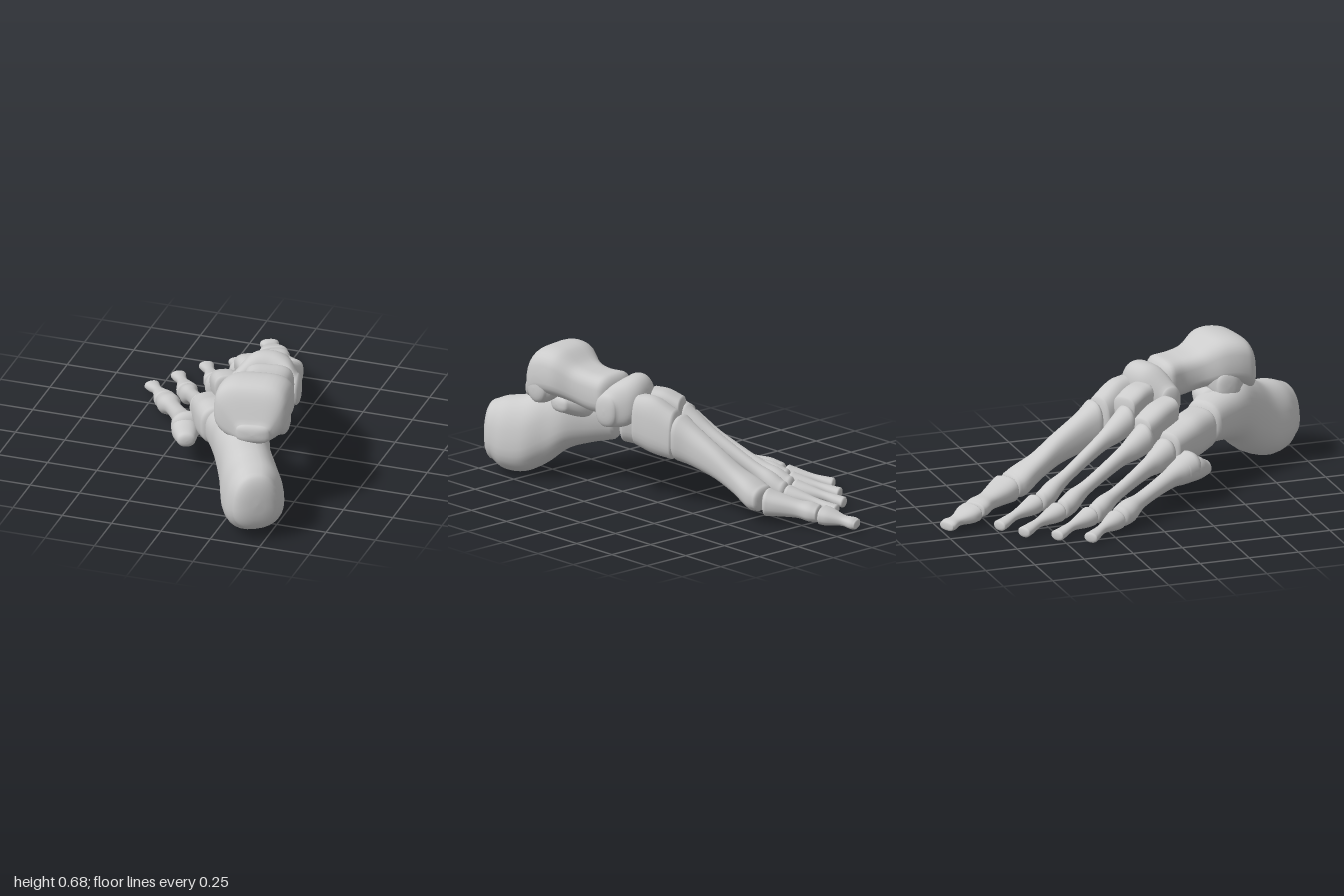
import * as THREE from 'three';

const material = new THREE.MeshStandardMaterial({ color: 0xcccccc, roughness: 0.8 });
const SIDES = 32;
const CAP = 6;

// Lofts upright rounded sections [x, y, z, halfWidth, halfHeight, taper] along a level axis.
// taper > 0 widens the top, < 0 widens the bottom; square is the section exponent.
function bone(name, stations, { square = 2.5, dome = 0.35, groove = 0 } = {}) {
  const path = new THREE.CatmullRomCurve3(
    stations.map(s => new THREE.Vector3(s[0], s[1], s[2])), false, 'catmullrom', 0.5);
  const size = new THREE.CatmullRomCurve3(
    stations.map(s => new THREE.Vector3(s[3], s[4], s[5] || 0)), false, 'catmullrom', 0.5);
  const axis = path.getPoint(1).sub(path.getPoint(0)).setY(0).normalize();
  const side = new THREE.Vector3().crossVectors(axis, new THREE.Vector3(0, 1, 0));

  // rings: rounded start, body, rounded end
  const rings = [];
  const cap = (t, sign) => {
    const s = size.getPoint(t);
    const depth = dome * Math.min(s.x, s.y);
    const list = [];
    for (let k = 1; k <= CAP; k++) {
      const a = (k / CAP) * Math.PI / 2;
      list.push({
        c: path.getPoint(t).addScaledVector(axis, sign * depth * Math.sin(a)),
        s, k: Math.pow(Math.max(Math.cos(a), 0), 0.8),
      });
    }
    return list;
  };
  const steps = (stations.length - 1) * 6;
  rings.push(...cap(0, -1).reverse());
  for (let i = 0; i <= steps; i++) {
    rings.push({ c: path.getPoint(i / steps), s: size.getPoint(i / steps), k: 1 });
  }
  rings.push(...cap(1, 1));

  const pos = [], index = [];
  const power = v => Math.sign(v) * Math.pow(Math.abs(v), 2 / square);
  rings.forEach(({ c, s, k }, i) => {
    for (let j = 0; j < SIDES; j++) {
      const a = (j / SIDES) * Math.PI * 2;
      const u = power(Math.cos(a));
      let v = power(Math.sin(a));
      const w = u * s.x * k * (1 + s.z * v);
      if (v > 0) v -= groove * v * (1 - u * u);
      pos.push(c.x + side.x * w, c.y + v * s.y * k, c.z + side.z * w);
      if (i < rings.length - 1) {
        const n = (j + 1) % SIDES;
        const p = i * SIDES + j, q = i * SIDES + n;
        index.push(p, p + SIDES, q, q, p + SIDES, q + SIDES);
      }
    }
  });
  const geometry = new THREE.BufferGeometry();
  geometry.setAttribute('position', new THREE.Float32BufferAttribute(pos, 3));
  geometry.setIndex(index);
  geometry.computeVertexNormals();
  const mesh = new THREE.Mesh(geometry, material);
  mesh.name = name;
  return mesh;
}

// Long bone between two points; profile rows are [t, halfWidth, halfHeight, lift]
function longBone(name, from, to, profile, options) {
  const a = new THREE.Vector3(...from), b = new THREE.Vector3(...to);
  return bone(name, profile.map(([t, w, h, lift = 0]) => {
    const p = a.clone().lerp(b, t);
    return [p.x, p.y + lift, p.z, w, h];
  }), options);
}

export function createModel() {
  const foot = new THREE.Group();
  foot.name = 'footSkeleton';

  // Hindfoot: heel bone and its inner shelf
  foot.add(bone('heelBone', [
    [0.455, 0.21, 0.93, 0.115, 0.145, -0.1],
    [0.43, 0.205, 0.87, 0.143, 0.175, -0.14],
    [0.38, 0.212, 0.78, 0.145, 0.187, -0.18],
    [0.32, 0.265, 0.69, 0.13, 0.19, -0.08],
    [0.268, 0.315, 0.6, 0.135, 0.16],
    [0.2, 0.315, 0.51, 0.12, 0.125],
    [0.135, 0.312, 0.435, 0.105, 0.105],
  ], { square: 2.4, dome: 0.4 }));
  foot.add(bone('heelShelf', [
    [0.22, 0.37, 0.52, 0.09, 0.08],
    [0.31, 0.39, 0.52, 0.085, 0.06],
    [0.4, 0.41, 0.53, 0.06, 0.04],
  ], { dome: 0.6 }));

  // Ankle bone with grooved dome, neck and head
  foot.add(bone('ankleBone', [
    [0.37, 0.46, 0.725, 0.085, 0.05],
    [0.34, 0.53, 0.68, 0.165, 0.12, -0.03],
    [0.332, 0.567, 0.62, 0.182, 0.125, -0.05],
    [0.33, 0.57, 0.52, 0.172, 0.12, -0.05],
    [0.325, 0.53, 0.43, 0.128, 0.1],
    [0.315, 0.51, 0.35, 0.115, 0.1],
    [0.295, 0.505, 0.275, 0.122, 0.1],
  ], { square: 3, dome: 0.5, groove: 0.06 }));
  foot.add(bone('ankleOuterProcess', [
    [0.27, 0.53, 0.57, 0.11, 0.11],
    [0.21, 0.49, 0.57, 0.09, 0.1],
    [0.175, 0.46, 0.57, 0.06, 0.075],
  ], { dome: 0.4 }));
  foot.add(bone('ankleInnerProcess', [
    [0.38, 0.53, 0.6, 0.1, 0.1],
    [0.45, 0.51, 0.6, 0.09, 0.095],
    [0.485, 0.495, 0.6, 0.065, 0.075],
  ], { dome: 0.4, square: 2 }));

  // Midfoot: curved boat-shaped bone, three wedges and the cuboid
  foot.add(bone('boatBone', [
    [0.11, 0.44, 0.25, 0.055, 0.075],
    [0.18, 0.495, 0.19, 0.075, 0.1],
    [0.27, 0.497, 0.155, 0.078, 0.108],
    [0.35, 0.475, 0.16, 0.08, 0.105],
    [0.405, 0.45, 0.195, 0.062, 0.08],
  ], { dome: 0.4, square: 2.3 }));
  foot.add(bone('innerWedge', [
    [0.285, 0.41, 0.09, 0.08, 0.125, -0.1],
    [0.25, 0.39, 0.01, 0.08, 0.137, -0.15],
    [0.21, 0.355, -0.075, 0.078, 0.12, -0.12],
  ], { square: 2.7, dome: 0.3 }));
  foot.add(bone('middleWedge', [
    [0.16, 0.455, 0.125, 0.066, 0.08, 0.2],
    [0.125, 0.445, 0.07, 0.064, 0.082, 0.25],
    [0.09, 0.42, 0.01, 0.062, 0.078, 0.2],
  ], { square: 2.8, dome: 0.25 }));
  foot.add(bone('outerWedge', [
    [0.07, 0.395, 0.225, 0.065, 0.085, 0.15],
    [0.025, 0.37, 0.14, 0.068, 0.09, 0.15],
    [-0.018, 0.335, 0.06, 0.06, 0.085, 0.15],
  ], { square: 2.7, dome: 0.25 }));
  foot.add(bone('cuboid', [
    [0.09, 0.3, 0.39, 0.1, 0.1],
    [0.03, 0.287, 0.31, 0.095, 0.105],
    [-0.01, 0.28, 0.245, 0.09, 0.09],
    [-0.05, 0.265, 0.175, 0.085, 0.082],
  ], { square: 2.7, dome: 0.3 }));

  // First ray
  foot.add(bone('metatarsal1', [
    [0.2, 0.345, -0.115, 0.082, 0.112],
    [0.178, 0.31, -0.19, 0.064, 0.095],
    [0.15, 0.25, -0.32, 0.056, 0.075],
    [0.122, 0.185, -0.43, 0.062, 0.065],
    [0.1, 0.135, -0.52, 0.082, 0.07],
    [0.09, 0.12, -0.565, 0.08, 0.06],
  ], { dome: 0.4 }));
  foot.add(longBone('toeBase1', [0.08, 0.106, -0.6], [-0.053, 0.068, -0.805], [
    [0, 0.08, 0.064], [0.2, 0.073, 0.054], [0.6, 0.053, 0.041], [0.85, 0.064, 0.043], [1, 0.062, 0.038],
  ]));
  foot.add(longBone('toeTip1', [-0.068, 0.062, -0.828], [-0.145, 0.034, -0.98], [
    [0, 0.07, 0.042], [0.22, 0.064, 0.038], [0.6, 0.038, 0.024], [0.88, 0.046, 0.026], [1, 0.043, 0.022],
  ]));

  // Lesser rays: metatarsal base and head, then toe bone start and end
  const rays = [
    [[0.062, 0.385, 0.0], [-0.115, 0.095, -0.485], [-0.122, 0.085, -0.525], [-0.228, 0.035, -0.74]],
    [[-0.04, 0.32, 0.055], [-0.222, 0.083, -0.412], [-0.238, 0.073, -0.45], [-0.35, 0.032, -0.66]],
    [[-0.085, 0.25, 0.15], [-0.315, 0.073, -0.285], [-0.33, 0.065, -0.322], [-0.445, 0.03, -0.525]],
    [[-0.13, 0.19, 0.25], [-0.38, 0.068, -0.175], [-0.405, 0.06, -0.212], [-0.53, 0.03, -0.385]],
  ];
  rays.forEach(([base, head, start, end], i) => {
    const w = i === 3 ? 1.22 : 1;
    foot.add(longBone(`metatarsal${i + 2}`, base, head, [
      [0, 0.064 * w, 0.075],
      [0.12, 0.053 * w, 0.063],
      [0.3, 0.036 * w, 0.045, 0.005],
      [0.7, 0.031 * w, 0.037, 0.006],
      [0.89, 0.045 * w, 0.054],
      [1, 0.043 * w, 0.05],
    ], { dome: 0.6, square: 2.2 }));
    foot.add(longBone(`toeBase${i + 2}`, start, end, [
      [0, 0.052, 0.046],
      [0.18, 0.045, 0.039],
      [0.55, 0.025, 0.023, 0.004],
      [0.85, 0.032, 0.025],
      [1, 0.037, 0.025],
    ], { dome: 0.45, square: 2.2 }));
  });

  // Rear knob on the base of the fifth metatarsal
  foot.add(bone('metatarsal5Knob', [
    [-0.1, 0.165, 0.345, 0.045, 0.038],
    [-0.125, 0.178, 0.29, 0.064, 0.06],
    [-0.155, 0.177, 0.22, 0.063, 0.063],
  ], { dome: 0.6, square: 2.2 }));

  return foot;
}
